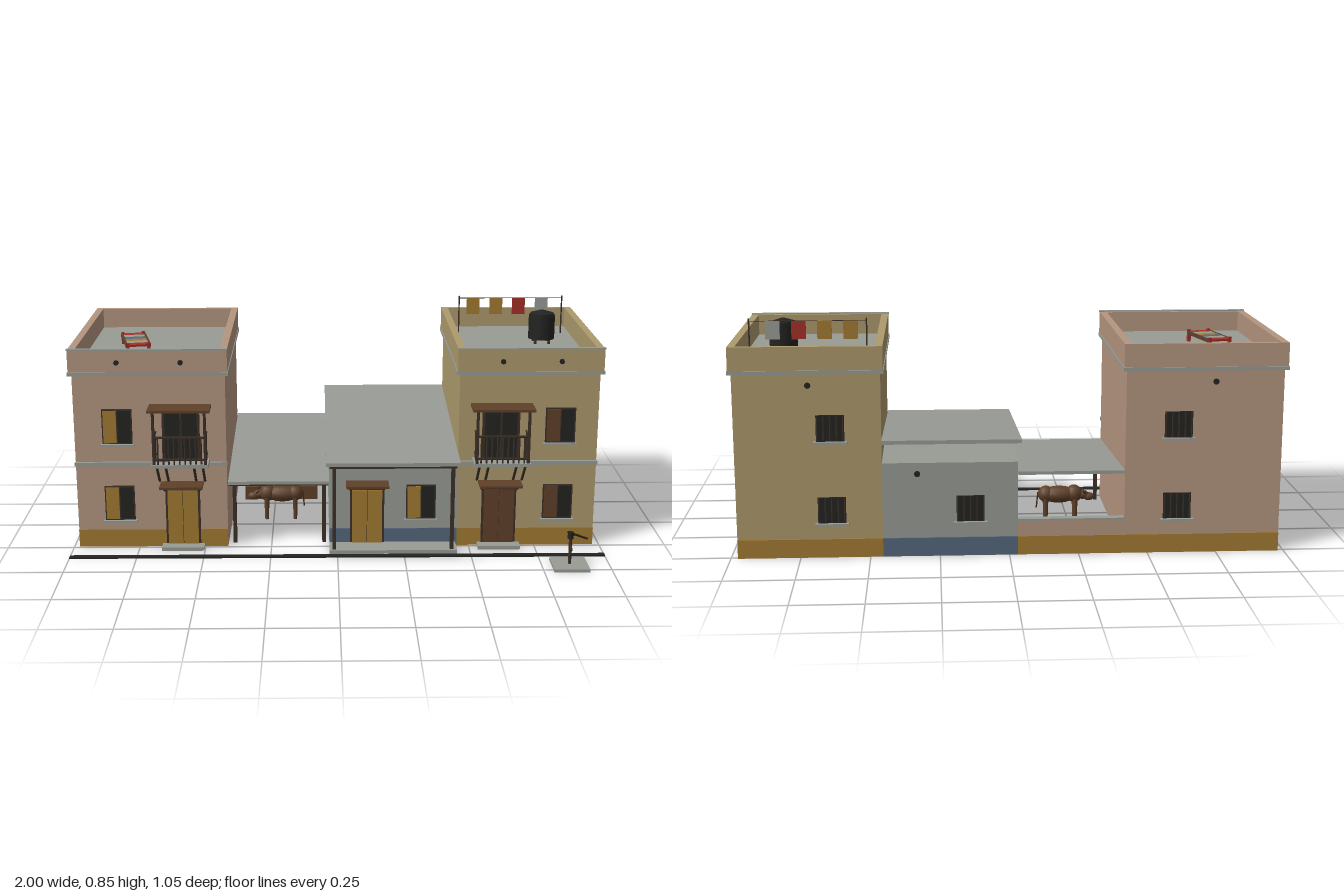
import * as THREE from 'three';

const colours = {
  pinkPlaster: 0xb4967f, yellowPlaster: 0xad9a6d, grey: 0x989c95, ochre: 0xa37a33, darkWood: 0x3c3027,
  brown: 0x5f4029, blue: 0x56677c, black: 0x232421, red: 0xa63029,
};
const M = {};

function add(parent, name, geo, mat) {
  const mesh = new THREE.Mesh(geo, M[mat]);
  mesh.name = name;
  parent.add(mesh);
  return mesh;
}

// box given by its limits on each axis
function box(parent, name, mat, x0, x1, y0, y1, z0, z1) {
  const m = add(parent, name, new THREE.BoxGeometry(x1 - x0, y1 - y0, z1 - z0), mat);
  m.position.set((x0 + x1) / 2, (y0 + y1) / 2, (z0 + z1) / 2);
  return m;
}

// square or round bar between two points
function bar(parent, name, mat, a, b, r, sides = 6, r2 = r) {
  const p = new THREE.Vector3(...a), q = new THREE.Vector3(...b), d = q.clone().sub(p);
  const m = add(parent, name, new THREE.CylinderGeometry(r2, r, d.length(), sides), mat);
  m.position.copy(p).add(q).multiplyScalar(0.5);
  m.quaternion.setFromUnitVectors(new THREE.Vector3(0, 1, 0), d.normalize());
  return m;
}

function group(parent, name) {
  const g = new THREE.Group();
  g.name = name;
  parent.add(g);
  return g;
}

const F = 0.235, B = -0.505; // front and back wall planes

// front window with one closed shutter and one dark half
function frontWindow(parent, x, y, shutter) {
  const g = group(parent, 'frontWindow');
  box(g, 'windowFrame', 'darkWood', x - 0.056, x + 0.056, y - 0.067, y + 0.067, F, F + 0.006);
  box(g, 'shutter', shutter, x - 0.051, x - 0.002, y - 0.062, y + 0.062, F, F + 0.012);
  box(g, 'darkPane', 'black', x + 0.002, x + 0.051, y - 0.062, y + 0.062, F, F + 0.008);
  box(g, 'windowSill', 'grey', x - 0.062, x + 0.062, y - 0.075, y - 0.067, F, F + 0.018);
}

// barred window on the back wall
function backWindow(parent, x, y) {
  const g = group(parent, 'backWindow');
  box(g, 'darkPane', 'black', x - 0.05, x + 0.05, y - 0.048, y + 0.048, B - 0.005, B);
  for (let i = -2; i <= 2; i++)
    bar(g, 'windowBar', 'darkWood', [x + i * 0.023, y - 0.045, B - 0.007], [x + i * 0.023, y + 0.045, B - 0.007], 0.003);
  box(g, 'windowSill', 'grey', x - 0.06, x + 0.06, y - 0.055, y - 0.047, B - 0.018, B);
}

// front door with frame, step and small canopy
function door(parent, x, mat, step) {
  const g = group(parent, 'door');
  box(g, 'doorFrame', 'darkWood', x - 0.065, x + 0.065, 0.01, 0.232, F, F + 0.008);
  for (const s of [-1, 1]) {
    box(g, 'doorLeaf', mat, x + s * 0.029 - 0.028, x + s * 0.029 + 0.028, 0.012, 0.224, F, F + 0.013);
    bar(g, 'canopyStrut', 'darkWood', [x + s * 0.065, 0.222, F], [x + s * 0.065, 0.25, 0.305], 0.004, 4);
  }
  box(g, 'doorCanopy', 'brown', x - 0.08, x + 0.08, 0.25, 0.259, F, 0.312);
  if (step) box(g, 'doorStep', 'grey', x - 0.08, x + 0.08, 0, 0.013, F, 0.29);
}

function balcony(parent, x) {
  const g = group(parent, 'balcony'), zf = 0.314;
  box(g, 'balconyFloor', 'grey', x - 0.105, x + 0.105, 0.337, 0.35, F, 0.322);
  box(g, 'balconyCanopy', 'brown', x - 0.115, x + 0.115, 0.551, 0.56, F, 0.332);
  box(g, 'balconyDoorFrame', 'darkWood', x - 0.07, x + 0.07, 0.35, 0.548, F, F + 0.008);
  for (const s of [-1, 1]) {
    box(g, 'balconyDoorLeaf', 'black', x + s * 0.032 - 0.028, x + s * 0.032 + 0.028, 0.352, 0.54, F, F + 0.012);
    box(g, 'balconyPost', 'darkWood', x + s * 0.095 - 0.005, x + s * 0.095 + 0.005, 0.35, 0.552, zf - 0.005, zf + 0.005);
    for (const y of [0.368, 0.453])
      bar(g, 'sideRail', 'darkWood', [x + s * 0.095, y, F], [x + s * 0.095, y, zf], 0.004, 4);
    for (let i = 1; i < 4; i++)
      bar(g, 'sideBaluster', 'darkWood', [x + s * 0.095, 0.35, F + i * 0.02], [x + s * 0.095, 0.453, F + i * 0.02], 0.0032);
    // diagonal brackets under the floor
    for (const e of [0.052, 0.085])
      bar(g, 'balconyBracket', 'darkWood', [x + s * e, 0.26, F], [x + s * e, 0.337, zf], 0.005, 4);
  }
  for (const y of [0.368, 0.453])
    bar(g, 'frontRail', 'darkWood', [x - 0.095, y, zf], [x + 0.095, y, zf], 0.005, 4);
  for (let i = -4; i <= 4; i++)
    bar(g, 'frontBaluster', 'darkWood', [x + i * 0.02, 0.35, zf], [x + i * 0.02, 0.453, zf], 0.0035);
}

function townHouse(parent, name, wall, x0, x1, doorX, windowX, backX, backVentX, doorMat, shutterMat) {
  const g = group(parent, name);
  const px0 = x0 - 0.01, px1 = x1 + 0.01, pz0 = -0.52, pz1 = 0.254, t = 0.027;
  box(g, 'walls', wall, x0, x1, 0, 0.68, B, F);
  box(g, 'cornice', 'grey', px0 - 0.003, px1 + 0.003, 0.673, 0.686, pz0 - 0.004, pz1 + 0.002);
  box(g, 'flatRoof', 'grey', x0, x1, 0.686, 0.692, B, F);
  // parapet
  box(g, 'parapetFront', wall, px0, px1, 0.686, 0.77, pz1 - t, pz1);
  box(g, 'parapetBack', wall, px0, px1, 0.686, 0.77, pz0, pz0 + t * 0.7);
  box(g, 'parapetRight', wall, px0, px0 + t, 0.686, 0.77, pz0, pz1);
  box(g, 'parapetLeft', wall, px1 - t, px1, 0.686, 0.77, pz0, pz1);
  box(g, 'parapetLip', 'grey', px0 - 0.002, px1 + 0.002, 0.768, 0.774, pz1 - 0.012, pz1 + 0.004);
  // painted plinths and string course
  box(g, 'frontPlinth', 'ochre', x0, x1, 0, 0.068, F, F + 0.005);
  box(g, 'backPlinth', 'ochre', x0, x1, 0, 0.068, B - 0.005, B);
  box(g, 'stringCourse', 'grey', x0 - 0.003, x1 + 0.003, 0.322, 0.337, F, F + 0.012);
  for (const x of [x0 + 0.3 * (x1 - x0), x0 + 0.715 * (x1 - x0)])
    bar(g, 'roofDrain', 'black', [x, 0.723, pz1 - 0.01], [x, 0.723, pz1 + 0.005], 0.01, 8);
  bar(g, 'backVent', 'black', [backVentX, 0.63, B], [backVentX, 0.63, B - 0.005], 0.011, 10);
  for (const y of [0.475, 0.175]) {
    frontWindow(g, windowX, y, shutterMat);
    backWindow(g, backX, y);
  }
  door(g, doorX, doorMat, true);
  balcony(g, doorX);
  return g;
}

// sloping slab, low at the front
function slopedRoof(parent, name, x0, x1, zb, zf, yb, yf, t) {
  const s = new THREE.Shape([[zb, yb - t], [zf, yf - t], [zf, yf], [zb, yb]].map(p => new THREE.Vector2(...p)));
  const geo = new THREE.ExtrudeGeometry(s, { depth: x1 - x0, bevelEnabled: false });
  geo.rotateY(-Math.PI / 2).scale(1, 1, 1);
  const m = add(parent, name, geo, 'grey');
  m.position.x = x1;
  return m;
}

export function createModel() {
  for (const k in colours) {
    M[k] = new THREE.MeshStandardMaterial({ color: colours[k] });
    M[k].name = k;
  }
  const root = new THREE.Group();
  root.name = 'villageStreet';

  const pink = townHouse(root, 'pinkHouse', 'pinkPlaster', -0.98, -0.415, -0.583, -0.82, -0.605, -0.735, 'ochre', 'ochre');
  const yellow = townHouse(root, 'yellowHouse', 'yellowPlaster', 0.455, 0.975, 0.612, 0.834, 0.635, 0.71, 'brown', 'brown');

  // small grey house with a porch
  const mid = group(root, 'middleHouse');
  box(mid, 'walls', 'grey', -0.03, 0.455, 0, 0.345, B, F);
  box(mid, 'frontPlinth', 'blue', -0.03, 0.455, 0, 0.068, F, F + 0.005);
  box(mid, 'backPlinth', 'blue', -0.03, 0.455, 0, 0.068, B - 0.005, B);
  box(mid, 'porchFloor', 'grey', -0.03, 0.45, 0, 0.014, F, 0.33);
  slopedRoof(mid, 'roof', -0.043, 0.456, -0.53, 0.325, 0.433, 0.355, 0.014);
  for (const x of [-0.012, 0.43]) box(mid, 'porchPost', 'darkWood', x - 0.007, x + 0.007, 0, 0.34, 0.305, 0.319);
  box(mid, 'porchBeam', 'darkWood', -0.03, 0.445, 0.332, 0.342, 0.305, 0.319);
  door(mid, 0.113, 'ochre', false);
  frontWindow(mid, 0.317, 0.175, 'ochre');
  backWindow(mid, 0.14, 0.175);
  bar(mid, 'backVent', 'black', [0.33, 0.305, B], [0.33, 0.305, B - 0.005], 0.011, 10);

  // covered cattle yard
  const yard = group(root, 'cattleYard');
  slopedRoof(yard, 'yardRoof', -0.413, -0.031, -0.52, 0.218, 0.312, 0.25, 0.012);
  for (const x of [-0.39, -0.05]) box(yard, 'yardPost', 'darkWood', x - 0.007, x + 0.007, 0, 0.24, 0.19, 0.204);
  box(yard, 'yardBeam', 'darkWood', -0.41, -0.033, 0.229, 0.239, 0.19, 0.204);
  box(yard, 'yardBackWall', 'pinkPlaster', -0.415, -0.03, 0, 0.125, B, B + 0.025);
  box(yard, 'wallCap', 'grey', -0.415, -0.03, 0.125, 0.132, B - 0.003, B + 0.028);
  box(yard, 'yardPlinth', 'ochre', -0.415, -0.03, 0, 0.068, B - 0.005, B);
  box(yard, 'trough', 'brown', -0.375, -0.075, 0, 0.055, -0.42, -0.3);
  box(yard, 'hay', 'ochre', -0.365, -0.085, 0.055, 0.066, -0.41, -0.31);

  // ox standing side-on, facing right
  const ox = group(yard, 'ox');
  ox.position.set(-0.23, 0, -0.08);
  const blob = (name, x, y, z, sx, sy, sz) => {
    const m = add(ox, name, new THREE.SphereGeometry(1, 12, 8), 'brown');
    m.position.set(x, y, z);
    m.scale.set(sx, sy, sz);
  };
  blob('belly', 0.015, 0.102, 0, 0.075, 0.033, 0.034);
  blob('rump', 0.065, 0.104, 0, 0.032, 0.032, 0.032);
  blob('shoulder', -0.045, 0.105, 0, 0.033, 0.034, 0.032);
  blob('neck', -0.078, 0.1, 0, 0.026, 0.018, 0.018);
  blob('head', -0.102, 0.092, 0, 0.022, 0.016, 0.015);
  for (const z of [-0.019, 0.019]) {
    for (const x of [-0.048, 0.066]) bar(ox, 'leg', 'brown', [x, 0, z], [x, 0.09, z], 0.007, 8, 0.01);
    bar(ox, 'horn', 'black', [-0.09, 0.105, z * 0.5], [-0.075, 0.122, z * 1.5], 0.004, 6, 0.001);
  }
  bar(ox, 'tail', 'darkWood', [0.096, 0.11, 0], [0.102, 0.05, 0], 0.003);

  // woven bed on the pink roof
  const bed = group(pink, 'stripedBed');
  bed.position.set(-0.782, 0.692, -0.107);
  bed.rotation.y = 0.22;
  ['red', 'grey', 'blue', 'ochre', 'grey', 'red'].forEach((c, i) =>
    box(bed, 'bedStripe', c, -0.044, 0.044, 0.032, 0.04, -0.107 + i * 0.0357, -0.107 + (i + 1) * 0.0357));
  for (const s of [-1, 1]) {
    for (const e of [-1, 1])
      box(bed, 'bedLeg', 'red', s * 0.04 - 0.006, s * 0.04 + 0.006, 0, 0.046, e * 0.1 - 0.006, e * 0.1 + 0.006);
    box(bed, 'bedSideRail', 'brown', s * 0.044 - 0.004, s * 0.044 + 0.004, 0.028, 0.041, -0.1, 0.1);
  }

  // water tank on the yellow roof
  const tank = group(yellow, 'waterTank');
  tank.position.set(0.818, 0.692, -0.2);
  bar(tank, 'tankBody', 'black', [0, 0.018, 0], [0, 0.112, 0], 0.052, 20);
  bar(tank, 'tankShoulder', 'black', [0, 0.112, 0], [0, 0.119, 0], 0.046, 20);
  bar(tank, 'tankLid', 'black', [0, 0.119, 0], [0, 0.131, 0], 0.045, 20, 0.008);
  for (let i = 0; i < 4; i++) {
    const a = Math.PI / 4 + i * Math.PI / 2, x = 0.038 * Math.cos(a), z = 0.038 * Math.sin(a);
    bar(tank, 'tankLeg', 'darkWood', [x, 0, z], [x, 0.02, z], 0.006);
  }

  // washing line
  const line = group(yellow, 'washingLine');
  for (const x of [0.505, 0.923]) bar(line, 'linePole', 'darkWood', [x, 0.69, -0.37], [x, 0.847, -0.37], 0.003);
  bar(line, 'line', 'darkWood', [0.505, 0.838, -0.37], [0.923, 0.838, -0.37], 0.0012, 4);
  [['ochre', 0.562], ['ochre', 0.655], ['red', 0.747], ['grey', 0.84]].forEach(([c, x]) =>
    box(line, 'hangingCloth', c, x - 0.026, x + 0.026, 0.772, 0.838, -0.372, -0.368));

  // street drain and hand pump
  box(root, 'streetDrain', 'black', -1, 1, 0, 0.005, 0.343, 0.368);
  const pump = group(root, 'handPump');
  box(pump, 'pumpSlab', 'grey', 0.786, 0.916, 0, 0.011, 0.4, 0.525);
  bar(pump, 'pumpPipe', 'darkWood', [0.85, 0.01, 0.463], [0.85, 0.115, 0.463], 0.006, 10);
  bar(pump, 'pumpHead', 'black', [0.85, 0.108, 0.463], [0.85, 0.133, 0.463], 0.011, 10);
  bar(pump, 'pumpSpout', 'darkWood', [0.85, 0.085, 0.463], [0.85, 0.074, 0.496], 0.004, 8);
  bar(pump, 'pumpHandle', 'black', [0.838, 0.134, 0.463], [0.912, 0.107, 0.463], 0.004, 6);
  return root;
}
